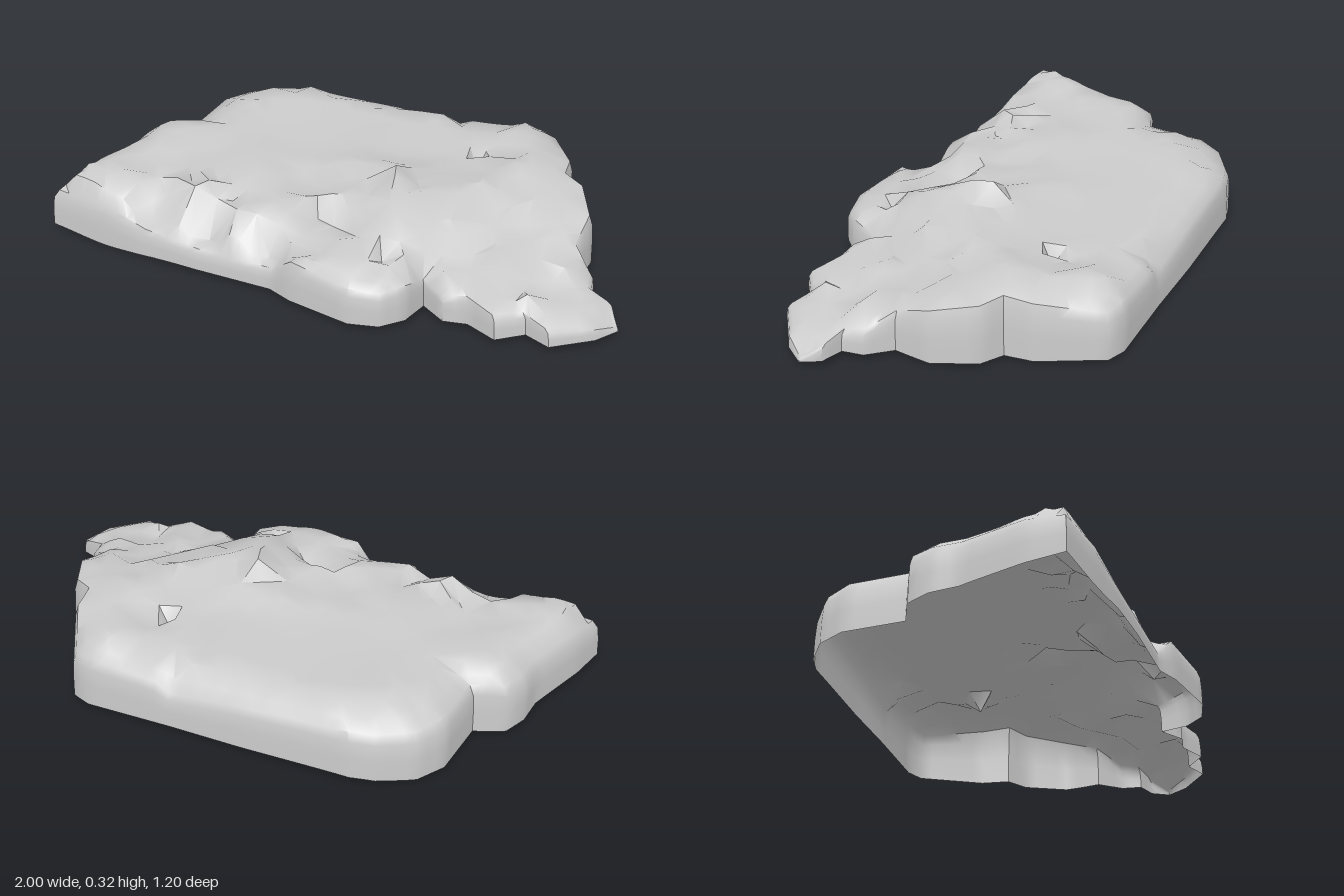
import * as THREE from 'three';
import { toCreasedNormals } from 'three/addons/utils/BufferGeometryUtils.js';

// Footprint corners: x, z, height of the wall top
const RIM = [
  [-1, 0.52, 0.16], [-0.78, 0.54, 0.16], [-0.62, 0.55, 0.12], [-0.4, 0.55, 0.1], [-0.12, 0.54, 0.1],
  [-0.03, 0.57, 0.17], [0.2, 0.6, 0.15], [0.3, 0.57, 0.14], [0.36, 0.5, 0.15], [0.38, 0.4, 0.12],
  [0.47, 0.45, 0.11], [0.55, 0.43, 0.125], [0.66, 0.47, 0.11], [0.74, 0.4, 0.1], [0.83, 0.43, 0.085],
  [0.95, 0.33, 0.07], [1, 0.25, 0.04], [0.96, 0.19, 0.08], [0.88, 0.17, 0.1], [0.86, 0.1, 0.11],
  [0.78, 0.03, 0.16], [0.78, -0.1, 0.2], [0.7, -0.24, 0.22], [0.62, -0.28, 0.23], [0.6, -0.38, 0.22],
  [0.47, -0.58, 0.18], [0.4, -0.6, 0.19], [0.15, -0.575, 0.17], [0.1, -0.57, 0.135], [-0.17, -0.55, 0.165],
  [-0.55, -0.51, 0.18], [-0.63, -0.48, 0.175], [-0.74, -0.4, 0.175], [-0.79, -0.3, 0.18],
  [-0.79, -0.08, 0.18], [-0.89, -0.03, 0.18], [-0.92, 0.05, 0.18], [-0.92, 0.15, 0.18], [-0.98, 0.38, 0.18],
];

// Main points of the upper surface: x, z, height
const FACES = [
  [-0.6, -0.36, 0.235], [-0.2, -0.4, 0.225], [0.15, -0.42, 0.225], [0.42, -0.42, 0.25], [0.5, -0.22, 0.265],
  [-0.65, -0.1, 0.23], [-0.3, -0.1, 0.225], [0.05, -0.15, 0.225], [0.45, -0.12, 0.25],
  [0.65, -0.12, 0.225], [0.7, 0, 0.2], [-0.8, 0.1, 0.235], [-0.9, 0.42, 0.24], [-0.7, 0.42, 0.215],
  [-0.6, 0.25, 0.215], [-0.4, 0.15, 0.235], [-0.48, 0.4, 0.25], [-0.3, 0.43, 0.225], [-0.2, 0.33, 0.235],
  [-0.05, 0.42, 0.18], [0, 0.15, 0.24], [0.2, 0.18, 0.285], [0.22, 0.28, 0.265], [0.13, 0.37, 0.2],
  [0.1, 0.48, 0.19], [0.25, 0.5, 0.17], [0.32, 0.2, 0.225], [0.35, 0.05, 0.255], [0.4, 0.3, 0.17],
  [0.5, 0.1, 0.2], [0.5, 0.3, 0.14], [0.6, 0.2, 0.165], [0.65, 0.38, 0.125], [0.75, 0.12, 0.145],
  [0.78, 0.3, 0.11], [0.88, 0.27, 0.1], [-0.38, 0.485, 0.11], [-0.15, 0.485, 0.11], [-0.6, 0.5, 0.13],
  [-0.14, 0.42, 0.2],
  // pinnacle
  [0.12, 0.07, 0.315], [0.07, 0.04, 0.25], [0.18, 0.03, 0.25],
  // small pit
  [0.28, -0.26, 0.16], [0.24, -0.29, 0.23], [0.33, -0.25, 0.235], [0.26, -0.21, 0.23],
];

const CENTRE = [0.1, 0.05];
const TOP_INSET = 0.975;

function seeded(seed) {
  return () => {
    seed = (seed * 16807) % 2147483647;
    return seed / 2147483647;
  };
}

const scaled = ([x, z], t) => [CENTRE[0] + (x - CENTRE[0]) * t, CENTRE[1] + (z - CENTRE[1]) * t];
const clearOf = (x, z, points, gap) => points.every((p) => Math.hypot(p[0] - x, p[1] - z) > gap);

// Rim with extra points along every edge
function denseRim() {
  return RIM.flatMap((a, i) => {
    const b = RIM[(i + 1) % RIM.length];
    const steps = Math.ceil(Math.hypot(a[0] - b[0], a[1] - b[1]) / 0.045);
    return Array.from({ length: steps }, (_, k) => a.map((v, j) => THREE.MathUtils.lerp(v, b[j], k / steps)));
  });
}

function insideRim(x, z) {
  let inside = false;
  RIM.forEach(([ax, az], i) => {
    const [bx, bz] = RIM[(i + 1) % RIM.length];
    if (az > z !== bz > z && x < ax + ((bx - ax) * (z - az)) / (bz - az)) inside = !inside;
  });
  return inside;
}

// Steep distance weighting gives level shelves with short slopes between them
function surfaceHeight(x, z) {
  let sum = 0;
  let total = 0;
  for (const [fx, fz, y] of FACES) {
    const w = 1 / Math.pow((x - fx) ** 2 + (z - fz) ** 2 + 0.001, 2.5);
    sum += w * y;
    total += w;
  }
  return sum / total;
}

// Points of the upper surface: rim, rounded shoulder, main points, jittered fill
function surfacePoints(rim) {
  const random = seeded(41);
  const edge = rim.map((p) => [...scaled(p, TOP_INSET), p[2]]);
  const points = [...edge];
  for (const p of rim) {
    const [x, z] = scaled(p, 0.92);
    if (clearOf(x, z, edge, 0.025) && clearOf(x, z, FACES, 0.03)) {
      const rise = z < 0 && x < 0.6 ? 0.45 : 0.8;
      points.push([x, z, THREE.MathUtils.lerp(p[2], surfaceHeight(x, z), rise)]);
    }
  }
  points.push(...FACES);
  const step = 0.065;
  for (let gx = -0.96; gx < 1; gx += step) {
    for (let gz = -0.56; gz < 0.6; gz += step) {
      const x = gx + (random() - 0.5) * step * 0.9;
      const z = gz + (random() - 0.5) * step * 0.9;
      let y = surfaceHeight(x, z);
      // broken ground steps down in layers, the rest is smooth
      if (z > 0.12 - 0.25 * (x + 0.2)) {
        y = THREE.MathUtils.lerp(y, Math.round(y / 0.045) * 0.045, 0.6) + (random() - 0.5) * 0.035;
      }
      const fits = insideRim(...scaled([x, z], 1 / 0.9));
      if (fits && clearOf(x, z, points, 0.033) && clearOf(x, z, FACES, 0.05)) points.push([x, z, y]);
    }
  }
  return points;
}

// Centre and squared radius of the circle through three points
function circle(points, tri) {
  const [[ax, az], [bx, bz], [cx, cz]] = tri.map((i) => points[i]);
  const ux = bx - ax, uz = bz - az, vx = cx - ax, vz = cz - az;
  const d = 2 * (ux * vz - uz * vx);
  const u = ux * ux + uz * uz;
  const v = vx * vx + vz * vz;
  const x = (vz * u - uz * v) / d;
  const z = (ux * v - vx * u) / d;
  return { tri, x: ax + x, z: az + z, r: x * x + z * z };
}

// Delaunay triangles over the points, facing up
function triangulate(points) {
  const n = points.length;
  const all = [...points, [-50, -50], [0, 80], [50, -50]];
  let cells = [circle(all, [n, n + 1, n + 2])];
  for (let p = 0; p < n; p++) {
    const [x, z] = all[p];
    const edges = new Map();
    cells = cells.filter((c) => {
      if ((x - c.x) ** 2 + (z - c.z) ** 2 >= c.r) return true;
      c.tri.forEach((a, k) => {
        const b = c.tri[(k + 1) % 3];
        if (!edges.delete(`${b},${a}`)) edges.set(`${a},${b}`, [a, b]);
      });
      return false;
    });
    for (const [a, b] of edges.values()) cells.push(circle(all, [a, b, p]));
  }
  return cells.map((c) => c.tri).filter((tri) => tri.every((i) => i < n));
}

// Wall rings from the foot to the rim, joined to the broken upper surface
function slabGeometry() {
  const rim = denseRim();
  const n = rim.length;
  const positions = [];
  const indices = [];
  const wall = [[0, 1], [0.45, 0.998], [0.8, 0.992]];
  for (const [level, t] of wall) {
    for (const p of rim) {
      const [x, z] = scaled(p, t);
      const dip = 0.015 * Math.exp(-(((x + 0.78) / 0.16) ** 2));
      const foot = 0.012 + 0.01 * THREE.MathUtils.smoothstep(z, -0.1, 0.2) - dip;
      positions.push(x, THREE.MathUtils.lerp(Math.max(0, foot), p[2], level), z);
    }
  }
  for (let r = 0; r < wall.length; r++) {
    for (let i = 0; i < n; i++) {
      const a = r * n + i;
      const b = r * n + ((i + 1) % n);
      indices.push(a, b, b + n, a, b + n, a + n);
    }
  }

  // The first points of the surface are the top ring of the wall
  const base = wall.length * n;
  const points = surfacePoints(rim);
  for (const [x, z, y] of points) positions.push(x, y, z);
  for (const tri of triangulate(points)) {
    const mid = [0, 1].map((k) => tri.reduce((s, i) => s + points[i][k] / 3, 0));
    if (insideRim(...scaled(mid, 1 / TOP_INSET))) indices.push(...tri.map((i) => base + i));
  }

  const geometry = new THREE.BufferGeometry();
  geometry.setAttribute('position', new THREE.Float32BufferAttribute(positions, 3));
  geometry.setIndex(indices);
  return toCreasedNormals(geometry, 0.75);
}

export function createModel() {
  const group = new THREE.Group();
  group.name = 'rockLedge';

  // Hollow slab, open underneath
  const material = new THREE.MeshStandardMaterial({ color: 0xcccccc, side: THREE.DoubleSide });
  const slab = new THREE.Mesh(slabGeometry(), material);
  slab.name = 'rockSlab';
  group.add(slab);
  return group;
}
